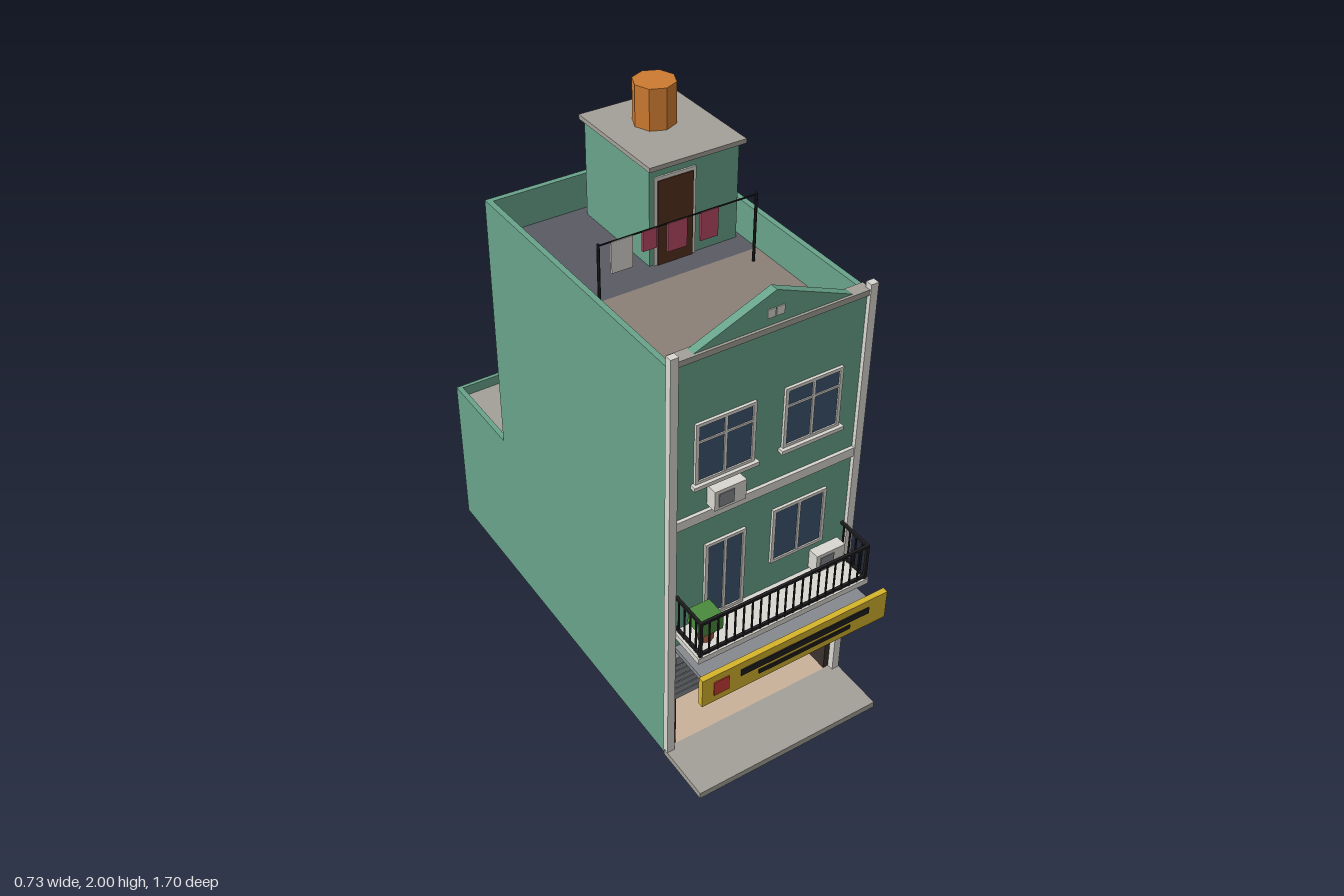
import * as THREE from 'three';

const C = {
  wall: 0x69a38b, trim: 0xd9d7d0, stone: 0xa3a098, glass: 0x3c5470, dark: 0x3a322e, black: 0x1e1e20,
  metal: 0x85888d, brown: 0x54301f, yellow: 0xd6b42c, red: 0xc83c34, blue: 0x4a78b0, green: 0x4a8a3c,
  tan: 0xa98c66, pink: 0xb84a66, orange: 0xcc7a30, pipe: 0x6a6c70,
};
const mats = {};
const mat = (c) => (mats[c] ??= new THREE.MeshStandardMaterial({ color: c, flatShading: true }));

export function createModel() {
  const model = new THREE.Group();
  let parent = model;

  const add = (name, color, geo) => {
    const m = new THREE.Mesh(geo, mat(color));
    m.name = name;
    parent.add(m);
    return m;
  };
  // box given by its limits on each axis
  const box = (name, color, x0, x1, y0, y1, z0, z1) => {
    const m = add(name, color, new THREE.BoxGeometry(x1 - x0, y1 - y0, z1 - z0));
    m.position.set((x0 + x1) / 2, (y0 + y1) / 2, (z0 + z1) / 2);
    return m;
  };
  const group = (name, build) => {
    const outer = parent;
    parent = new THREE.Group();
    parent.name = name;
    outer.add(parent);
    build();
    parent = outer;
  };
  // box standing off a wall at z by depth, dir +1 front, -1 back
  const onWall = (name, color, x0, x1, y0, y1, z, d, dir) =>
    box(name, color, x0, x1, y0, y1, dir > 0 ? z : z - d, dir > 0 ? z + d : z);

  const window_ = (name, x0, x1, y0, y1, z, dir, { panes = 1, transom = 0, sill = false, bars = 0 } = {}) =>
    group(name, () => {
      const f = 0.012;
      onWall('glass', C.glass, x0 + f, x1 - f, y0 + f, y1 - f, z, 0.005, dir);
      onWall('frameSide', C.trim, x0, x0 + f, y0, y1, z, 0.01, dir);
      onWall('frameSide', C.trim, x1 - f, x1, y0, y1, z, 0.01, dir);
      onWall('frameTop', C.trim, x0, x1, y1 - f, y1, z, 0.01, dir);
      onWall('frameBottom', C.trim, x0, x1, y0, y0 + f, z, 0.01, dir);
      for (let i = 1; i < panes; i++) {
        const x = x0 + ((x1 - x0) * i) / panes;
        onWall('mullion', C.trim, x - 0.005, x + 0.005, y0, y1, z, 0.009, dir);
      }
      if (transom) onWall('transom', C.trim, x0, x1, transom - 0.004, transom + 0.004, z, 0.009, dir);
      if (sill) onWall('sill', C.trim, x0 - 0.01, x1 + 0.01, y0 - 0.012, y0 + 0.002, z, 0.022, dir);
      for (let i = 1; i <= bars; i++) {
        const x = x0 + ((x1 - x0) * i) / (bars + 1);
        onWall('bar', C.black, x - 0.002, x + 0.002, y0 + f, y1 - f, z, 0.009, dir);
      }
    });
  const airConditioner = (x0, y0, z, dir) =>
    group('airConditioner', () => {
      onWall('casing', C.trim, x0, x0 + 0.115, y0, y0 + 0.075, z, 0.042, dir);
      const fx = dir > 0 ? x0 + 0.015 : x0 + 0.045;
      onWall('fanGrille', C.metal, fx, fx + 0.055, y0 + 0.012, y0 + 0.062, z, 0.045, dir);
    });

  // Walls: L-shaped side walls, then front and back walls; open underneath
  group('walls', () => {
    const side = new THREE.Shape([[-0.63, 0], [0.84, 0], [0.84, 0.62], [0.46, 0.62], [0.46, 1.62], [-0.63, 1.62]]
      .map(([x, y]) => new THREE.Vector2(x, y)));
    for (const x of [-0.36, 0.34]) {
      const m = add('sideWall', C.wall, new THREE.ExtrudeGeometry(side, { depth: 0.02, bevelEnabled: false }));
      m.rotation.y = Math.PI / 2;
      m.position.x = x;
    }
    box('frontWall', C.wall, -0.34, 0.34, 0.44, 1.62, 0.61, 0.635);
    box('backWall', C.wall, -0.34, 0.34, 0.56, 1.62, -0.46, -0.44);
    box('annexBackWall', C.wall, -0.34, 0.34, 0, 0.62, -0.84, -0.825);
    box('annexRoof', C.stone, -0.34, 0.34, 0.56, 0.58, -0.825, -0.46);
    box('terraceRear', 0x5a5a64, -0.34, 0.34, 1.47, 1.49, -0.44, 0.08);
    box('terraceFront', 0x8a8076, -0.34, 0.34, 1.47, 1.49, 0.08, 0.61);
  });

  // Front trim: corner pilasters, floor band, coping and gable
  group('facadeTrim', () => {
    for (const s of [-1, 1]) {
      const x = s * 0.35;
      box('pilaster', C.trim, x - 0.014, x + 0.014, 0.02, 1.66, 0.625, 0.65);
    }
    box('floorBand', C.trim, -0.337, 0.337, 1.01, 1.045, 0.63, 0.647);
    box('coping', C.stone, -0.345, 0.345, 1.62, 1.64, 0.6, 0.645);
    const gable = new THREE.Shape([[-0.28, 1.64], [0.28, 1.64], [0, 1.755]].map(([x, y]) => new THREE.Vector2(x, y)));
    add('gable', C.wall, new THREE.ExtrudeGeometry(gable, { depth: 0.03, bevelEnabled: false })).position.z = 0.606;
    for (const x of [-0.03, 0.002]) box('gableVent', C.trim, x, x + 0.028, 1.667, 1.697, 0.63, 0.639);
  });

  // Shop at street level
  group('shop', () => {
    box('pavement', C.stone, -0.365, 0.365, 0, 0.025, 0.63, 0.85);
    box('shopFloor', 0xc9b199, -0.34, 0.34, 0, 0.022, 0.29, 0.63);
    box('shopBack', C.tan, -0.315, 0.315, 0.022, 0.47, 0.295, 0.305);
    box('shopBackLining', C.dark, -0.34, 0.34, 0, 0.47, 0.285, 0.295);
    box('shopCeiling', C.dark, -0.34, 0.34, 0.45, 0.47, 0.29, 0.61);
    for (const s of [-1, 1]) {
      const x = s * 0.3275;
      box('shopSide', C.dark, x - 0.0125, x + 0.0125, 0.022, 0.45, 0.295, 0.625);
    }
    box('shutter', C.metal, -0.338, 0.338, 0.25, 0.44, 0.61, 0.628);
    for (let i = 0; i < 7; i++)
      box('shutterSlat', C.metal, -0.338, 0.338, 0.252 + i * 0.027, 0.275 + i * 0.027, 0.615, 0.633);
    box('shutterBox', C.metal, -0.336, 0.336, 0.44, 0.475, 0.63, 0.655);
    const rows = [
      [0.15, [0x55a055, C.trim, C.yellow, 0x7a4a2c]],
      [0.06, [0x8a5030, 0x3f86c0, C.red, C.trim]],
    ];
    for (const [y, colors] of rows) {
      box('shelf', C.tan, -0.31, 0.31, y - 0.01, y, 0.305, 0.37);
      colors.forEach((c, i) => box('goods', c, -0.3 + i * 0.155, -0.15 + i * 0.155, y, y + 0.06, 0.305, 0.36));
    }
    box('counter', C.blue, 0.05, 0.28, 0.022, 0.165, 0.42, 0.54);
  });

  // Sign board with plain decoration bars, on its canopy
  group('signBoard', () => {
    box('canopy', C.metal, -0.33, 0.33, 0.488, 0.506, 0.635, 0.826);
    box('board', C.yellow, -0.365, 0.365, 0.445, 0.56, 0.825, 0.846);
    box('redSquare', C.red, -0.322, -0.265, 0.475, 0.532, 0.84, 0.85);
    box('upperStripe', C.black, -0.22, 0.29, 0.505, 0.53, 0.84, 0.85);
    box('lowerStripe', C.black, -0.15, 0.215, 0.474, 0.49, 0.84, 0.85);
  });

  // Balcony with railing and potted plant
  group('balcony', () => {
    box('slab', C.trim, -0.336, 0.336, 0.56, 0.582, 0.63, 0.78);
    const rail = (x0, x1, y0, y1, z0, z1) => box('railing', C.black, x0, x1, y0, y1, z0, z1);
    for (const y of [0.588, 0.72]) {
      rail(-0.33, 0.33, y, y + 0.01, 0.767, 0.777);
      for (const x of [-0.33, 0.32]) rail(x, x + 0.01, y, y + 0.01, 0.635, 0.777);
    }
    for (let i = 0; i <= 20; i++) {
      const x = -0.325 + i * 0.0325, w = i % 20 ? 0.0025 : 0.005;
      rail(x - w, x + w, 0.582, 0.725, 0.772 - w, 0.772 + w);
    }
    for (const x of [-0.325, 0.325])
      for (let i = 0; i < 4; i++) {
        const z = 0.65 + i * 0.032;
        rail(x - 0.0025, x + 0.0025, 0.582, 0.725, z - 0.0025, z + 0.0025);
      }
    const pot = add('flowerPot', 0xa85a38, new THREE.CylinderGeometry(0.033, 0.026, 0.055, 8));
    pot.position.set(-0.265, 0.609, 0.71);
    box('plant', C.green, -0.305, -0.225, 0.635, 0.695, 0.67, 0.75);
  });

  // Front windows
  const zf = 0.635, zb = -0.46;
  window_('balconyDoor', -0.225, -0.073, 0.582, 0.9, zf, 1, { panes: 2 });
  window_('balconyWindow', 0.03, 0.24, 0.695, 0.92, zf, 1, { panes: 2 });
  for (const x of [-0.27, 0.05])
    window_('upperWindow', x, x + 0.215, 1.163, 1.39, zf, 1, { panes: 2, transom: 1.32, sill: true });
  airConditioner(0.197, 0.59, zf, 1);
  airConditioner(-0.22, 1.062, zf, 1);

  // Back openings and drainpipe
  window_('backUpperWindow', -0.155, -0.01, 1.16, 1.35, zb, -1);
  window_('backLowerWindow', -0.155, -0.01, 0.68, 0.88, zb, -1, { bars: 4 });
  window_('annexWindow', 0.065, 0.2, 0.155, 0.285, -0.84, -1, { bars: 4 });
  group('backDoor', () => {
    box('doorFrame', C.trim, -0.31, -0.165, 0, 0.32, -0.846, -0.835);
    box('doorLeaf', C.brown, -0.298, -0.177, 0, 0.308, -0.85, -0.835);
  });
  airConditioner(0.04, 1.08, zb, -1);
  const pipe = add('drainpipe', C.pipe, new THREE.CylinderGeometry(0.01, 0.01, 0.93, 8));
  pipe.position.set(0.32, 1.06, -0.469);

  // Stair house with water tank
  group('stairHouse', () => {
    box('stairWalls', C.wall, -0.015, 0.32, 1.485, 1.84, -0.4, -0.01);
    box('stairRoof', C.stone, -0.028, 0.332, 1.84, 1.856, -0.413, 0.013);
    box('doorFrame', C.trim, 0, 0.155, 1.49, 1.805, -0.01, -0.004);
    box('doorLeaf', C.brown, 0.012, 0.143, 1.49, 1.793, -0.01, 0);
    window_('stairWindow', 0.1, 0.215, 1.68, 1.775, -0.4, -1);
    const tank = add('waterTank', C.orange, new THREE.CylinderGeometry(0.073, 0.073, 0.145, 8));
    tank.position.set(0.152, 1.9275, -0.243);
  });

  // Washing line
  group('washingLine', () => {
    for (const x of [-0.288, 0.284]) {
      const pole = add('pole', C.black, new THREE.CylinderGeometry(0.005, 0.005, 0.25, 6));
      pole.position.set(x, 1.615, 0.14);
    }
    box('line', C.black, -0.288, 0.284, 1.732, 1.736, 0.138, 0.142);
    const clothes = [[-0.245, -0.17, 0.11, C.trim], [-0.135, -0.085, 0.07, C.pink],
      [-0.045, 0.025, 0.1, C.pink], [0.075, 0.14, 0.1, C.pink]];
    for (const [x0, x1, h, c] of clothes) box('garment', c, x0, x1, 1.734 - h, 1.734, 0.136, 0.144);
  });

  return model;
}
